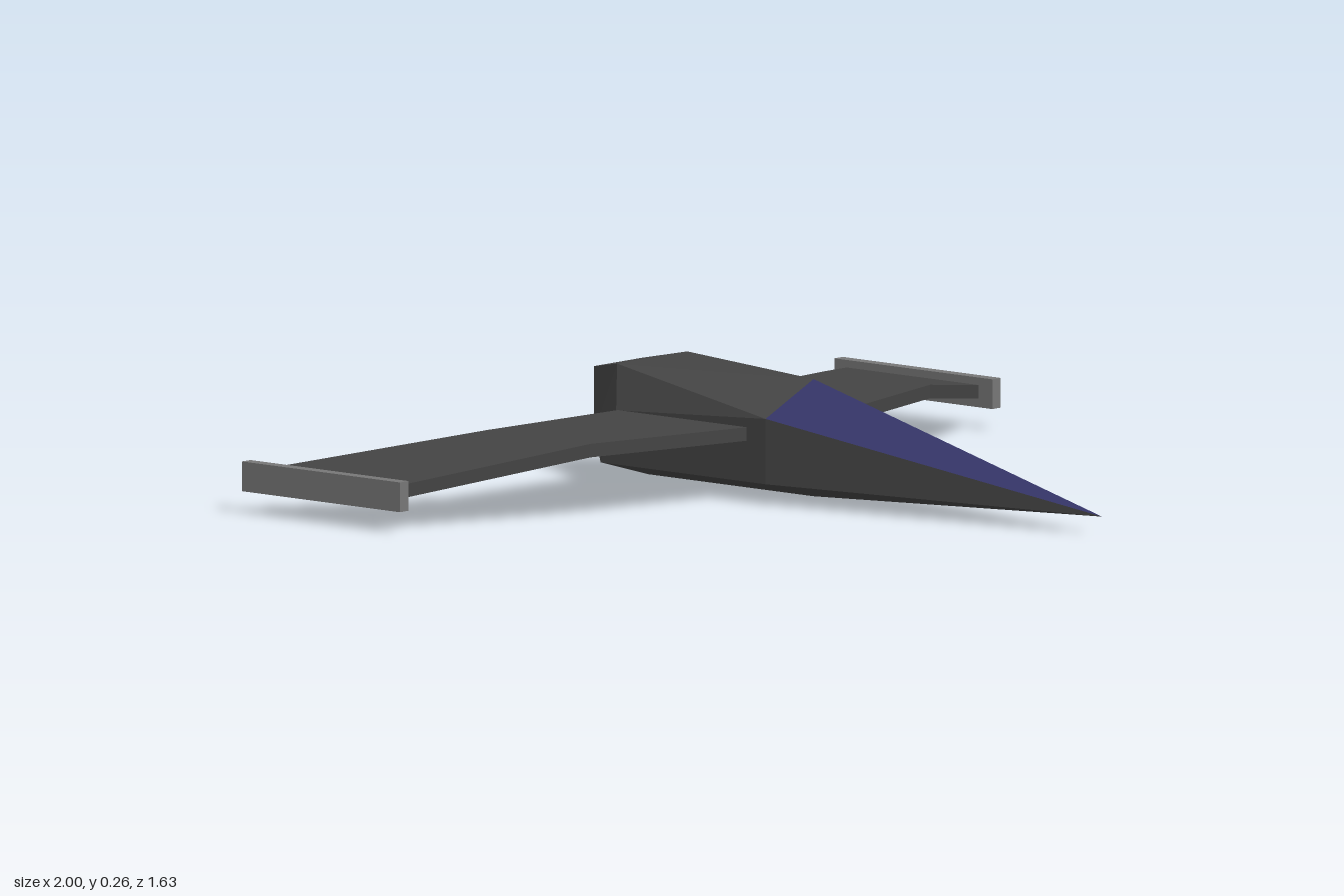
import * as THREE from 'three';

const darkHull = new THREE.MeshStandardMaterial({ color: 0x444444 });
const blueCanopy = new THREE.MeshStandardMaterial({ color: 0x333366 });
const greyMetal = new THREE.MeshStandardMaterial({ color: 0x777777 });
for (const [material, name] of [[darkHull, 'dark hull'], [blueCanopy, 'blue canopy'], [greyMetal, 'grey metal']]) {
  material.name = name;
}

// Faceted mesh from polygons given for the +x half, mirrored to -x
function mirroredFacets(name, polygons, material) {
  const positions = [];
  const flip = ([x, y, z]) => [-x, y, z];
  for (const polygon of polygons) {
    for (let i = 1; i < polygon.length - 1; i++) {
      const [a, b, c] = [polygon[0], polygon[i], polygon[i + 1]];
      positions.push(...a, ...b, ...c, ...flip(a), ...flip(c), ...flip(b));
    }
  }
  const geometry = new THREE.BufferGeometry();
  geometry.setAttribute('position', new THREE.Float32BufferAttribute(positions, 3));
  geometry.computeVertexNormals();
  const mesh = new THREE.Mesh(geometry, material);
  mesh.name = name;
  return mesh;
}

export function createModel() {
  const model = new THREE.Group();
  model.name = 'spacecraft';

  // Fuselage corner points, nose to tail
  const tip = [0, 0.045, 0.81];
  const ridge = [0, 0.265, -0.03];
  const shoulder = [0.16, 0.195, -0.03];
  const chine = [0.16, 0.05, -0.03];
  const keel = [0, 0.005, -0.03];
  const roofMid = [0, 0.265, -0.5];
  const roofEdge = [0.117, 0.265, -0.5];
  const rearShoulder = [0.16, 0.17, -0.465];
  const rearChine = [0.16, 0.05, -0.51];
  const rearKeel = [0, 0.005, -0.51];
  const tailTopMid = [0, 0.245, -0.6];
  const tailTop = [0.08, 0.245, -0.6];
  const tailLow = [0.08, 0.1, -0.6];
  const tailKeel = [0, 0.06, -0.6];
  const exhaustCentre = [0, 0.155, -0.54];

  model.add(mirroredFacets('canopy', [[tip, shoulder, ridge]], blueCanopy));

  model.add(mirroredFacets('fuselage', [
    [tip, chine, shoulder],
    [tip, keel, chine],
    [ridge, shoulder, roofEdge],
    [ridge, roofEdge, roofMid],
    [shoulder, chine, rearChine, rearShoulder],
    [shoulder, rearShoulder, roofEdge],
    [chine, keel, rearKeel, rearChine],
    [roofMid, roofEdge, tailTop, tailTopMid],
    [roofEdge, rearShoulder, tailLow, tailTop],
    [rearShoulder, rearChine, tailLow],
    [rearChine, rearKeel, tailKeel, tailLow],
  ], darkHull));

  // Recessed exhaust in the tail
  model.add(mirroredFacets('exhaust', [
    [tailTopMid, tailTop, exhaustCentre],
    [tailTop, tailLow, exhaustCentre],
    [tailLow, tailKeel, exhaustCentre],
  ], greyMetal));

  // Cranked wings: x, front z, back z, top y
  const stations = [
    [0.12, -0.075, -0.458, 0.171],
    [0.565, -0.185, -0.487, 0.171],
    [0.98, -0.405, -0.79, 0.1],
  ];
  const thickness = 0.03;
  const sections = stations.map(([x, front, back, y]) => [
    [x, y, front], [x, y, back], [x, y - thickness, back], [x, y - thickness, front],
  ]);
  const wingFaces = [];
  for (let s = 0; s < sections.length - 1; s++) {
    const inner = sections[s], outer = sections[s + 1];
    for (let i = 0; i < 4; i++) {
      const j = (i + 1) % 4;
      wingFaces.push([inner[i], outer[i], outer[j], inner[j]]);
    }
  }
  model.add(mirroredFacets('wings', wingFaces, darkHull));

  // Wing tip plates
  for (const side of [1, -1]) {
    const plate = new THREE.Mesh(new THREE.BoxGeometry(0.028, 0.066, 0.46), greyMetal);
    plate.name = side > 0 ? 'leftTipPlate' : 'rightTipPlate';
    plate.position.set(side * 0.986, 0.085, -0.59);
    model.add(plate);
  }

  return model;
}
